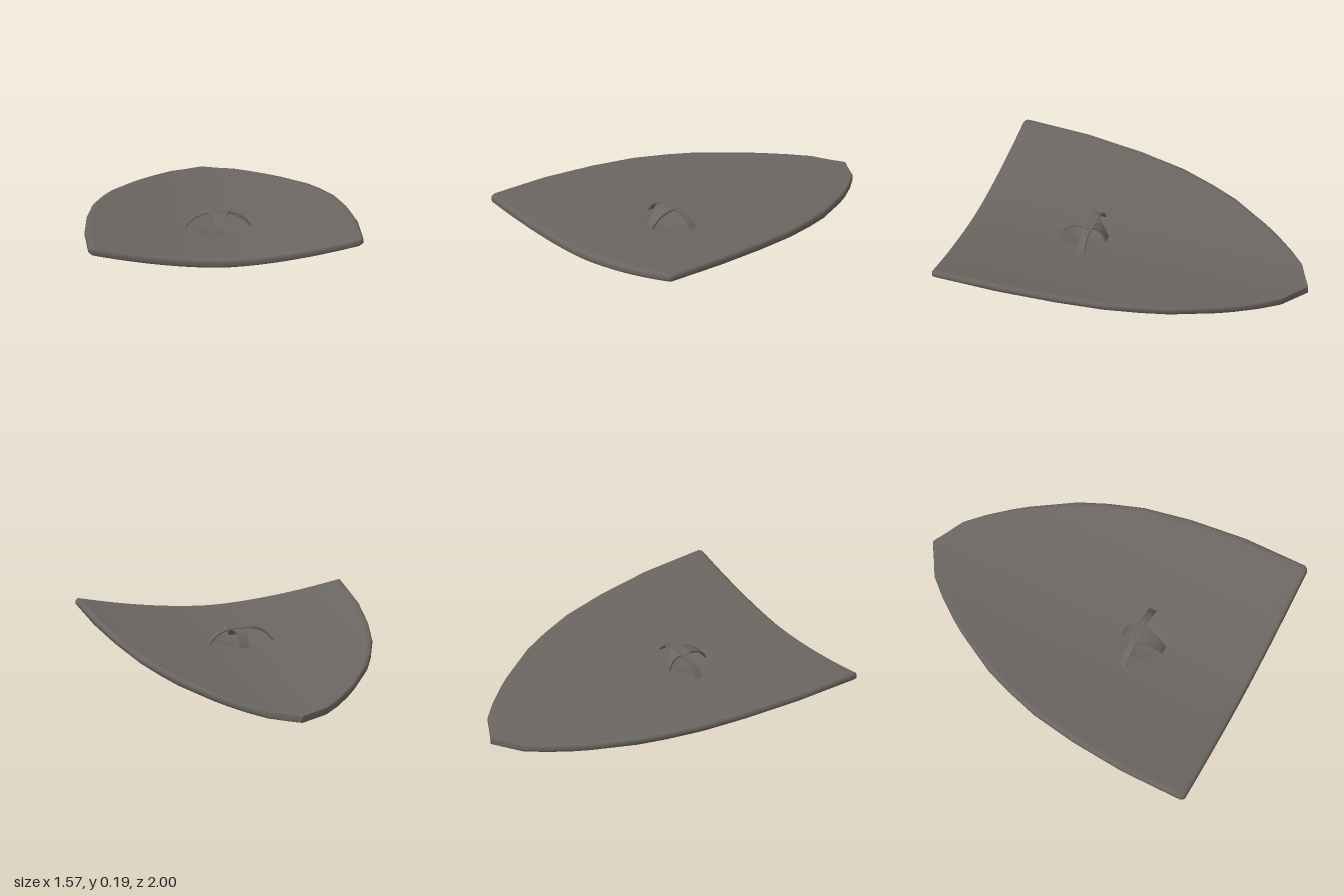
import * as THREE from 'three';
import { toCreasedNormals } from 'three/addons/utils/BufferGeometryUtils.js';

// Half width of the shield at stations from the tip (z = -1) to the straight end (z = 1)
const OUTLINE = [
  [-1, 0.004], [-0.95, 0.09], [-0.9, 0.18], [-0.8, 0.275], [-0.68, 0.37], [-0.6, 0.425], [-0.36, 0.565],
  [-0.2, 0.63], [0, 0.695], [0.27, 0.745], [0.6, 0.78], [0.93, 0.785], [0.975, 0.785], [0.992, 0.778], [1, 0.765],
];

function halfWidth(z) {
  for (let i = 1; i < OUTLINE.length; i++) {
    const [z0, w0] = OUTLINE[i - 1], [z1, w1] = OUTLINE[i];
    if (z <= z1) return w0 + (w1 - w0) * (z - z0) / (z1 - z0);
  }
  return OUTLINE[OUTLINE.length - 1][1];
}

// Curved upper surface, slightly higher on the left
const topHeight = (x, z) => 0.06 + 0.02 * z + 0.155 * Math.abs(x) ** 1.7 + 0.016 * x;

// Shallow hollow beneath the grip
const hollow = (x, z) => 0.018 * Math.exp(-(((x / 0.1) ** 2 + ((z - 0.36) / 0.1) ** 2) ** 2));

// Closed skin joining equally sized clockwise rings of [x, y, z]
function loft(rings) {
  const n = rings[0].length, index = [], last = (rings.length - 1) * n;
  for (let i = 0; i < rings.length - 1; i++) {
    for (let j = 0; j < n; j++) {
      const a = i * n + j, b = i * n + (j + 1) % n;
      index.push(a, a + n, b + n, a, b + n, b);
    }
  }
  for (let j = 0; j < n / 2 - 1; j++) {
    const p = j, q = j + 1, r = n - 2 - j, s = n - 1 - j;
    index.push(p, r, s, p, q, r);
    index.push(last + p, last + s, last + r, last + p, last + r, last + q);
  }
  const geometry = new THREE.BufferGeometry();
  geometry.setAttribute('position', new THREE.Float32BufferAttribute(rings.flat(2), 3));
  geometry.setIndex(index);
  geometry.computeVertexNormals();
  return geometry;
}

function shieldGeometry() {
  const across = [-0.985, -0.95, -0.92];
  for (let i = 0; i <= 48; i++) across.push(-0.88 + 1.76 * i / 48);
  across.push(0.92, 0.95, 0.985);

  const stations = new Set(OUTLINE.map(([z]) => z));
  for (let z = 0.1; z < 0.65; z += 0.025) stations.add(+z.toFixed(3));

  const rings = [...stations].sort((a, b) => a - b).map((z) => {
    const w = halfWidth(z);
    const thick = 0.053 - 0.014 * Math.max(0, -z) ** 2;
    const round = z > 0.995 ? 0.014 : z > 0.98 ? 0.005 : 0;
    const top = (s) => [s * w, topHeight(s * w, z) - hollow(s * w, z) - round, z];
    // The underside is recessed inside a narrow border
    const under = (s) => {
      const recess = Math.abs(s) < 0.94 && z < 0.95 && z > -0.93 ? 0.007 : 0;
      return [s * w * 0.985, topHeight(s * w, z) - thick + recess + round, z];
    };
    const edge = (side, drop) => [side * w, topHeight(side * w, z) - drop * thick, z];
    return [
      edge(-1, 0.3), ...across.map(top), edge(1, 0.3),
      edge(1, 0.7), ...across.slice().reverse().map(under), edge(-1, 0.7),
    ];
  });
  return loft(rings);
}

// Thin arched strap running along +z; profile holds [distance, height, half width]
function strapGeometry(profile) {
  const curve = new THREE.CatmullRomCurve3(profile.map(([d, y]) => new THREE.Vector3(0, y, d)));
  const widths = new THREE.CatmullRomCurve3(profile.map(([, , w], i) => new THREE.Vector3(w, i, 0)));
  const thick = 0.01, steps = 16, rings = [];
  for (let i = 0; i <= steps; i++) {
    const p = curve.getPoint(i / steps), t = curve.getTangent(i / steps);
    const w = widths.getPoint(i / steps).x;
    const ny = t.z * thick, nz = -t.y * thick;
    rings.push([
      [-w, p.y, p.z], [w, p.y, p.z],
      [w, p.y - ny, p.z - nz], [-w, p.y - ny, p.z - nz],
    ]);
  }
  return toCreasedNormals(loft(rings), 0.8);
}

export function createModel() {
  const group = new THREE.Group();
  group.name = 'shield';
  const metal = new THREE.MeshStandardMaterial({ color: 0x6b6661 });
  metal.name = 'dull grey metal';

  const plate = new THREE.Mesh(shieldGeometry(), metal);
  plate.name = 'shieldPlate';
  group.add(plate);

  // Four-legged grip arching over the hollow
  const grip = new THREE.Group();
  grip.name = 'grip';
  grip.position.set(0, 0, 0.31);
  const arm = [[0, 0.166, 0.032], [0.05, 0.165, 0.026], [0.1, 0.152, 0.02], [0.155, 0.12, 0.02], [0.195, 0.07, 0.022]];
  const legs = [
    ['leftArm', arm, Math.PI / 2],
    ['rightArm', arm, -Math.PI / 2],
    ['frontLeg', [[0, 0.166, 0.075], [0.04, 0.162, 0.052], [0.1, 0.138, 0.038], [0.15, 0.095, 0.027], [0.175, 0.05, 0.022]], 0],
    ['backLeg', [[0, 0.166, 0.075], [0.03, 0.16, 0.05], [0.06, 0.135, 0.032], [0.085, 0.095, 0.025], [0.1, 0.05, 0.024]], Math.PI],
  ];
  for (const [name, profile, turn] of legs) {
    const leg = new THREE.Mesh(strapGeometry(profile), metal);
    leg.name = name;
    leg.rotation.y = turn;
    grip.add(leg);
  }
  group.add(grip);
  return group;
}
